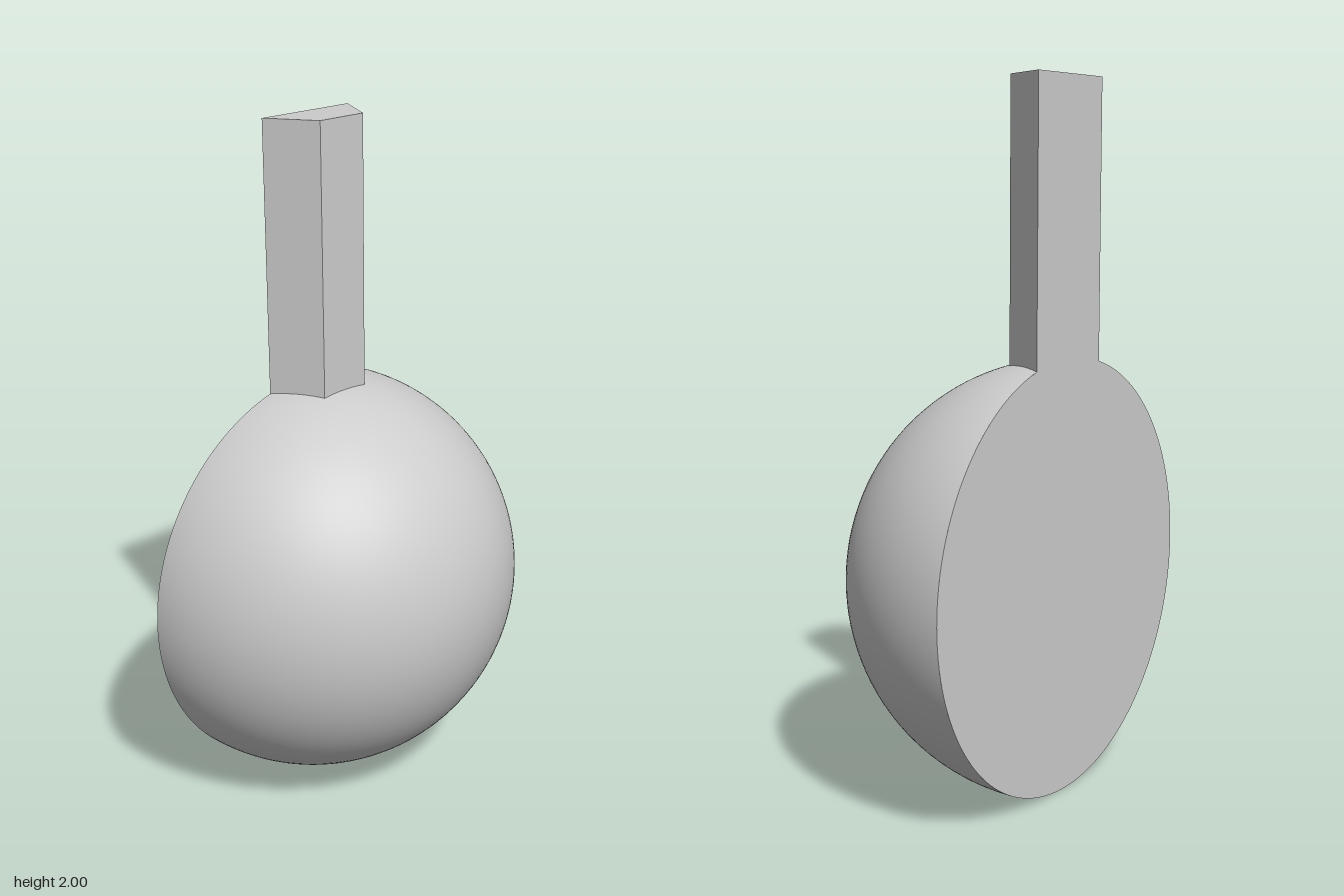
import * as THREE from 'three';

const R = 0.618;      // ball radius
const POST_R = 0.163; // half-hexagon post radius
const TOP = 2;
const BACK_Z = -R / 2;

export function createModel() {
  const model = new THREE.Group();
  const grey = new THREE.MeshStandardMaterial({ color: 0xcccccc });
  grey.name = 'light grey';

  const add = (name, geometry, y) => {
    const mesh = new THREE.Mesh(geometry, grey);
    mesh.name = name;
    mesh.position.set(0, y, BACK_Z);
    model.add(mesh);
    return mesh;
  };

  // Front half of the ball
  add('halfBall', new THREE.SphereGeometry(R, 64, 64, 0, Math.PI), R);

  // Half-hexagon post with crisp faces, sunk into the ball
  const bottom = 1.1;
  const post = new THREE.CylinderGeometry(
    POST_R, POST_R, TOP - bottom, 3, 1, false, -Math.PI / 2, Math.PI
  ).toNonIndexed();
  post.computeVertexNormals();
  add('post', post, (TOP + bottom) / 2);

  // One flat back closes both the ball and the post
  const a = Math.acos(POST_R / R);
  const outline = new THREE.Shape();
  outline.moveTo(POST_R, TOP);
  outline.lineTo(-POST_R, TOP);
  outline.absarc(0, R, R, Math.PI - a, Math.PI * 2 + a, false);
  outline.closePath();
  const back = add('flatBack', new THREE.ShapeGeometry(outline, 64), 0);
  back.rotation.y = Math.PI;

  return model;
}
